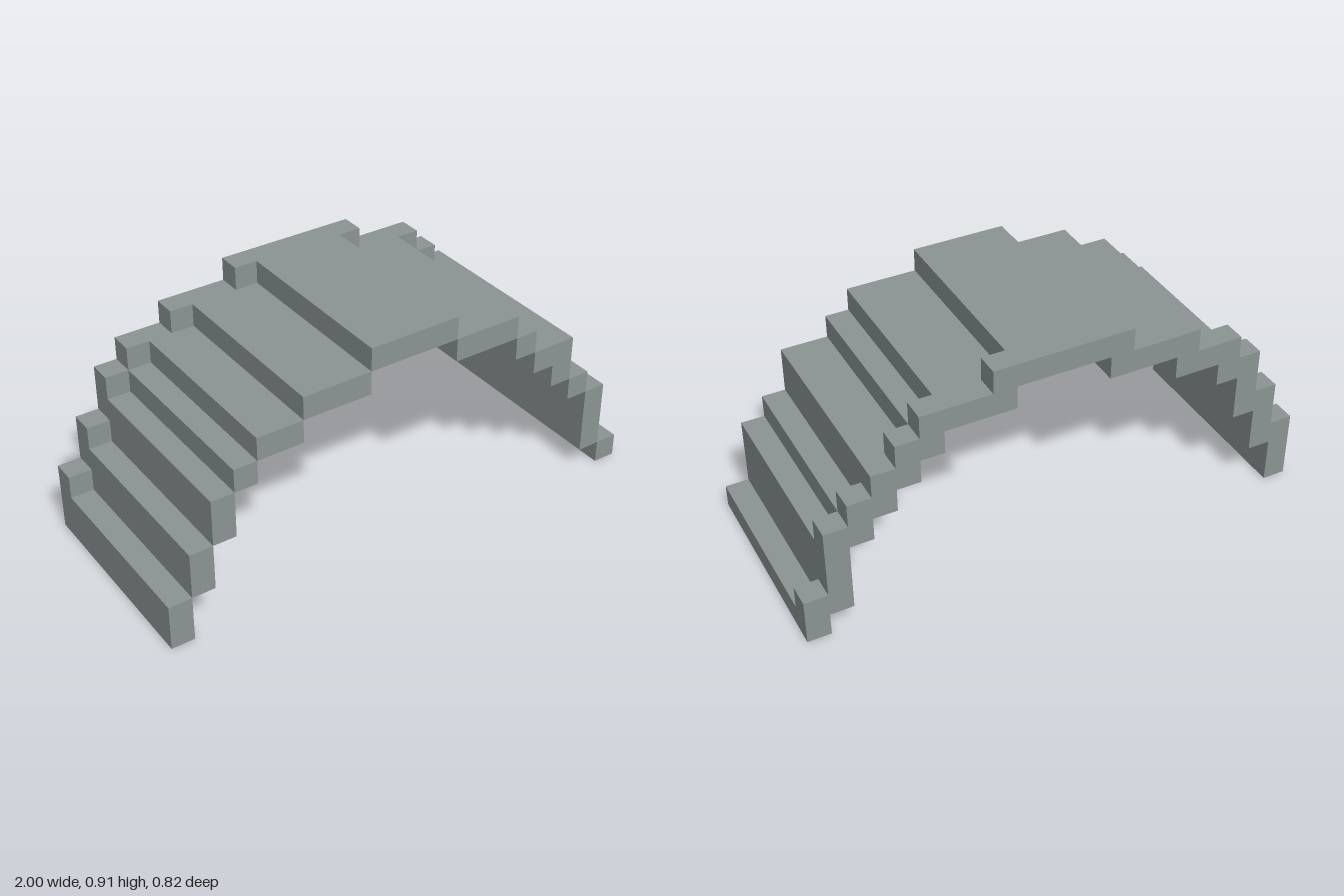
import * as THREE from 'three';

const U = 2 / 22;   // block size: the arch is 22 blocks wide
const DEPTH = 9;    // blocks from front to back

// Arch steps in blocks: [x start, x end, y bottom, y top], right foot to left foot
const STEPS = [
  [0, 1, 0, 2], [1, 2, 2, 4], [2, 3, 4, 6], [3, 4, 6, 7], [4, 6, 7, 8], [6, 9, 8, 9],
  [9, 13, 9, 10],
  [13, 16, 8, 9], [16, 17, 7, 8], [17, 18, 6, 7], [18, 19, 5, 7], [19, 20, 4, 5],
  [20, 21, 1, 4], [21, 22, 0, 1],
];

// Single blocks on the rear edge that join one step to the next: [x, y]
const REAR_BLOCKS = [
  [0, 2], [1, 4], [2, 6], [3, 7], [5, 8], [8, 9],
  [13, 9], [16, 8], [17, 7], [19, 5], [20, 4], [21, 1],
];

export function createModel() {
  const stone = new THREE.MeshStandardMaterial({ color: 0x8c9494 });
  stone.name = 'grey stone';

  const model = new THREE.Group();
  model.name = 'steppedArch';

  // Box spanning block coordinates, with z measured from the rear edge
  function addBlock(parent, name, x0, x1, y0, y1, depth) {
    const geometry = new THREE.BoxGeometry((x1 - x0) * U, (y1 - y0) * U, depth * U);
    const mesh = new THREE.Mesh(geometry, stone);
    mesh.name = name;
    mesh.position.set(((x0 + x1) / 2 - 11) * U, ((y0 + y1) / 2) * U, (depth - DEPTH) / 2 * U);
    parent.add(mesh);
  }

  // Full-depth steps
  const steps = new THREE.Group();
  steps.name = 'steps';
  STEPS.forEach(([x0, x1, y0, y1], i) => addBlock(steps, `step${i + 1}`, x0, x1, y0, y1, DEPTH));

  // Raised blocks along the rear edge
  const rearEdge = new THREE.Group();
  rearEdge.name = 'rearEdge';
  REAR_BLOCKS.forEach(([x, y], i) => addBlock(rearEdge, `rearBlock${i + 1}`, x, x + 1, y, y + 1, 1));

  model.add(steps, rearEdge);
  return model;
}
